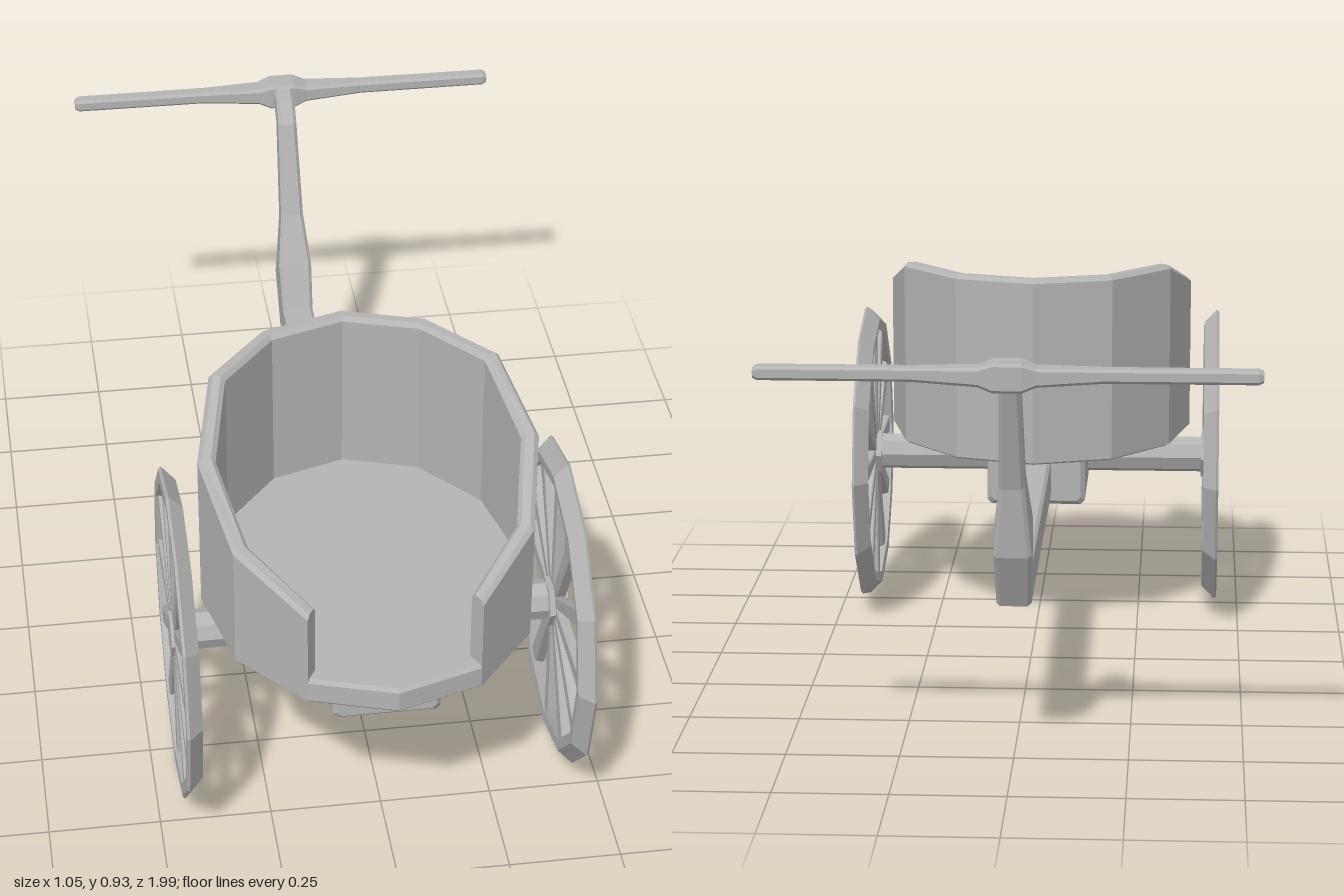
import * as THREE from 'three';

const grey = new THREE.MeshStandardMaterial({ color: 0xb4b4b4 });
grey.name = 'plain grey';
grey.flatShading = true;

// Joins equal-length cross-sections into a closed, flat-shaded solid
function loft(sections, closed = false) {
  const n = sections[0].length, m = sections.length, pos = [];
  const tri = (a, b, c) => pos.push(...a, ...b, ...c);
  for (let i = 0; i < (closed ? m : m - 1); i++) {
    const A = sections[i], B = sections[(i + 1) % m];
    for (let j = 0; j < n; j++) {
      const k = (j + 1) % n;
      tri(A[j], B[j], B[k]);
      tri(A[j], B[k], A[k]);
    }
  }
  if (!closed) {
    const A = sections[0], B = sections[m - 1];
    for (let j = 1; j < n - 1; j++) {
      tri(A[0], A[j], A[j + 1]);
      tri(B[0], B[j + 1], B[j]);
    }
  }
  // Turn all faces outward, judged by the signed volume
  let volume = 0;
  const p = (i) => new THREE.Vector3().fromArray(pos, i);
  for (let i = 0; i < pos.length; i += 9) volume += p(i).dot(p(i + 3).cross(p(i + 6)));
  if (volume < 0) {
    for (let i = 0; i < pos.length; i += 9) {
      for (let k = 3; k < 6; k++) [pos[i + k], pos[i + k + 3]] = [pos[i + k + 3], pos[i + k]];
    }
  }
  const g = new THREE.BufferGeometry();
  g.setAttribute('position', new THREE.Float32BufferAttribute(pos, 3));
  g.computeVertexNormals();
  return g;
}

// Rectangle with cut corners, centred on the origin
function cutRect(w, h, c) {
  return [[w - c, -h], [w, c - h], [w, h - c], [w - c, h], [c - w, h], [-w, h - c], [-w, c - h], [c - w, -h]];
}

function add(parent, name, geometry) {
  const mesh = new THREE.Mesh(geometry, grey);
  mesh.name = name;
  parent.add(mesh);
  return mesh;
}

const CZ = 0.54; // middle of the body along z
// Point on the twelve-sided oval; step 0 is the front tip
function oval(step, inset, y) {
  const a = step * Math.PI / 6;
  return [Math.sin(a) * (0.375 - inset), y, CZ + Math.cos(a) * (0.45 - inset)];
}

function buildBody(root) {
  const body = new THREE.Group();
  body.name = 'body';
  root.add(body);
  // Floor slab with softened edges
  const floor = [[0.008, 0.453], [0, 0.461], [0, 0.507], [0.008, 0.515]].map(([inset, y]) =>
    Array.from({ length: 12 }, (_, i) => oval(i, inset, y)));
  add(body, 'floor', loft(floor));
  // Side wall, open at the front and rising to the back
  const heights = [0, 0.685, 0.75, 0.835, 0.905, 0.905, 0.905];
  const wall = [];
  for (let i = 1; i <= 11; i++) {
    const h = heights[Math.min(i, 12 - i)];
    wall.push([[0, 0.458], [0, h - 0.01], [0.01, h], [0.03, h], [0.04, h - 0.01], [0.04, 0.458]]
      .map(([inset, y]) => oval(i, inset, y)));
  }
  add(body, 'wall', loft(wall));
  // Block under the floor that carries the axle and pole
  const block = [[0.25, 0.01], [0.26, 0], [0.82, 0], [0.83, 0.01]].map(([z, s]) =>
    cutRect(0.12 - s, 0.07 - s, 0.01).map(([x, y]) => [x, y + 0.386, z]));
  add(body, 'underBlock', loft(block));
}

function buildWheel(side) {
  const wheel = new THREE.Group();
  wheel.name = side > 0 ? 'leftWheel' : 'rightWheel';
  wheel.position.set(0, 0.375, 0.55);
  // Twelve-sided rim, sloping in towards the cart
  const rim = [];
  for (let i = 0; i < 12; i++) {
    const a = i * Math.PI / 6;
    rim.push([[0.318, 0.412], [0.343, 0.41], [0.375, 0.441], [0.37, 0.447], [0.34, 0.447]]
      .map(([r, x]) => [side * x, r * Math.cos(a), r * Math.sin(a)]));
  }
  add(wheel, 'rim', loft(rim, true));
  // Spokes, slightly wider at the rim
  for (let i = 0; i < 12; i++) {
    const spoke = [[0.03, 0.014], [0.335, 0.021]].map(([r, w]) =>
      cutRect(0.012, w, 0.003).map(([x, z]) => [x + side * 0.43, r, z]));
    add(wheel, 'spoke', loft(spoke)).rotation.x = i * Math.PI / 6;
  }
  // Hub
  const hub = add(wheel, 'hub', new THREE.CylinderGeometry(0.05, 0.058, 0.044, 6));
  hub.rotation.z = -side * Math.PI / 2;
  hub.position.x = side * 0.427;
  return wheel;
}

function buildPole(root) {
  // Each row: underside z, y, then upper side z, y, then half width
  const rows = [
    [0.3, 0.335, 0.3, 0.432, 0.037],
    [-0.735, 0.34, -0.665, 0.43, 0.038],
    [-0.80, 0.465, -0.71, 0.535, 0.041],
    [-0.82, 0.62, -0.765, 0.65, 0.028],
    [-0.90, 0.85, -0.842, 0.865, 0.023],
    [-0.925, 0.868, -0.885, 0.918, 0.023],
    [-0.96, 0.87, -0.96, 0.925, 0.023],
  ];
  const sections = rows.map(([z0, y0, z1, y1, w]) => {
    const h = Math.hypot(z1 - z0, y1 - y0) / 2;
    return cutRect(w, h, 0.008).map(([x, v]) => {
      const t = v / h / 2 + 0.5;
      return [x, y0 + (y1 - y0) * t, z0 + (z1 - z0) * t];
    });
  });
  add(root, 'pole', loft(sections));
}

function buildHandle(root) {
  // Half profile: x, middle y, half height, half depth
  const half = [[0.525, 0.9, 0.011, 0.014], [0.515, 0.9, 0.015, 0.018], [0.2, 0.9, 0.015, 0.019],
    [0.06, 0.897, 0.02, 0.028], [0.03, 0.897, 0.031, 0.035]];
  const rows = [...half.map(([x, ...r]) => [-x, ...r]), ...half.slice().reverse()];
  const sections = rows.map(([x, y, h, d]) =>
    cutRect(d, h, 0.006).map(([z, v]) => [x, y + v, z - 0.962]));
  add(root, 'handlebar', loft(sections));
}

export function createModel() {
  const root = new THREE.Group();
  root.name = 'handCart';
  buildBody(root);
  // Axle through the block
  const axle = add(root, 'axle', new THREE.CylinderGeometry(0.045, 0.045, 0.84, 8));
  axle.rotation.z = Math.PI / 2;
  axle.position.set(0, 0.378, 0.545);
  root.add(buildWheel(1), buildWheel(-1));
  buildPole(root);
  buildHandle(root);
  return root;
}
